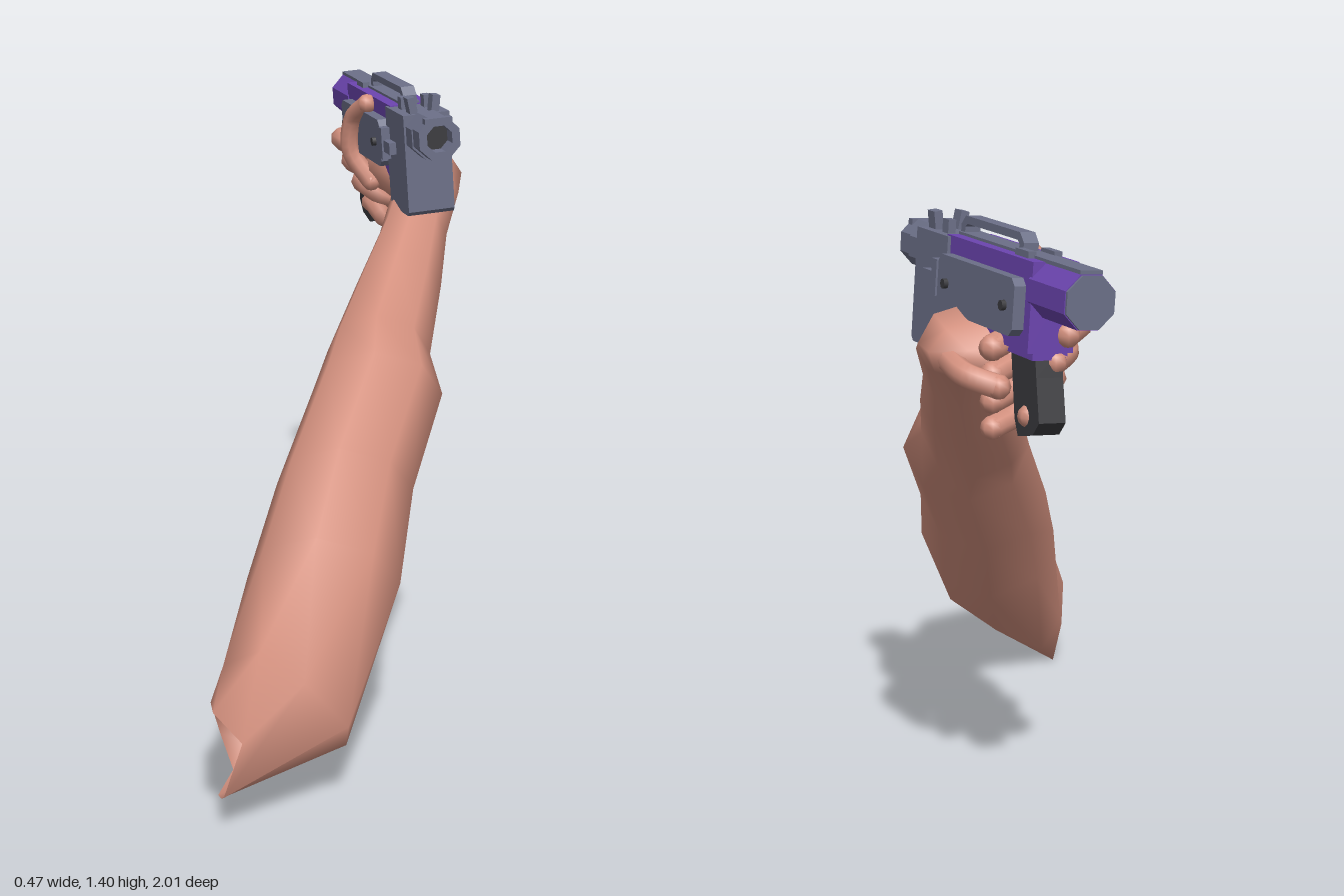
import * as THREE from 'three';

const mat = (name, color, side = THREE.FrontSide) => {
  const m = new THREE.MeshStandardMaterial({ color, side });
  m.name = name;
  return m;
};

export function createModel() {
  const skin = mat('skin', 0xd4917f, THREE.DoubleSide);
  const purple = mat('purple', 0x6c45b0);
  const grey = mat('grey', 0x6c7088);
  const dark = mat('dark', 0x3a3a3e);
  const model = new THREE.Group();
  const add = (parent, name, geo, material, x = 0, y = 0, z = 0) => {
    const m = new THREE.Mesh(geo, material);
    m.name = name;
    m.position.set(x, y, z);
    parent.add(m);
    return m;
  };

  // Skin over rings of equal point counts
  const loft = (rings) => {
    const n = rings[0].length, idx = [];
    for (let i = 0; i < rings.length - 1; i++) {
      for (let j = 0; j < n; j++) {
        const a = i * n + j, b = i * n + (j + 1) % n;
        idx.push(a, b, a + n, b, b + n, a + n);
      }
    }
    const g = new THREE.BufferGeometry();
    g.setAttribute('position', new THREE.Float32BufferAttribute(rings.flat(2), 3));
    g.setIndex(idx);
    g.computeVertexNormals();
    return g;
  };

  // Arm: slanted open cuff, then oval sections given by top z,y / bottom z,y / x range
  const cuff = [
    [[.08, .285, .95], [.15, .24, 1], [.10, .09, .95], [.08, .05, .87],
      [.06, .02, .79], [.065, .003, .62], [.04, .1, .64], [.03, .2, .7]],
    [[.16, .37, .8], [.26, .31, .83], [.35, .2, .8], [.34, .14, .76],
      [.22, .08, .66], [.1, .05, .58], [.05, .14, .58], [.06, .29, .7]],
  ];
  const oval = ([tz, ty, bz, by, x0, x1]) => Array.from({ length: 8 }, (_, j) => {
    const a = j * Math.PI / 4, c = Math.cos(a) / 2, s = Math.sin(a) / 2;
    return [(x0 + x1) / 2 + s * (x1 - x0), (ty + by) / 2 + c * (ty - by), (tz + bz) / 2 + c * (tz - bz)];
  });
  const sections = [
    [.60, .56, .35, .27, .08, .43],
    [.38, .70, .17, .45, .12, .44],
    [.15, .87, 0, .63, .18, .49],
    [0, .92, -.09, .71, .20, .45],
    [-.20, 1.03, -.27, .85, .25, .46],
    [-.38, 1.11, -.42, .96, .29, .46],
    [-.51, 1.18, -.55, 1.06, .31, .48],
    [-.60, 1.235, -.66, 1.07, .24, .48],
    [-.67, 1.21, -.71, 1.08, .20, .46],
    [-.72, 1.16, -.73, 1.11, .26, .40],
    [-.725, 1.136, -.725, 1.134, .32, .33],
  ];
  add(model, 'arm', loft([...cuff, ...sections.map(oval)]), skin);

  // Fingers: tubes with rounded ends
  const finger = (name, pts, r) => {
    const g = new THREE.Group();
    g.name = name;
    const v = pts.map((p) => new THREE.Vector3(...p));
    add(g, 'segment', new THREE.TubeGeometry(new THREE.CatmullRomCurve3(v), 12, r, 8), skin);
    for (const p of [v[0], v[v.length - 1]]) add(g, 'tip', new THREE.SphereGeometry(r, 8, 6), skin, p.x, p.y, p.z);
    model.add(g);
  };
  for (let i = 0; i < 4; i++) {
    const y = 1.215 - i * .057, d = i * .026;
    finger('finger', [[.33, y - .05, -.75], [.27, y - .03, -.70], [.17 + d, y, -.70],
      [.15 + d, y, -.76], [.18 + d, y - .01, -.82]], .029 - i * .001);
  }
  finger('thumb', [[.24, 1.12, -.65], [.185, 1.2, -.66], [.195, 1.29, -.64], [.235, 1.335, -.59]], .025);
  finger('littleFinger', [[.42, 1.13, -.68], [.385, 1.11, -.76], [.32, 1.09, -.79]], .027);

  // Gun frame: z runs to the muzzle
  const gun = new THREE.Group();
  gun.name = 'gun';
  gun.position.set(.303, 1.3, -.608);
  gun.rotation.set(0, .384, .07, 'YXZ');
  model.add(gun);

  // Side outline (z, y) extruded across x
  const slab = (pts, w) => {
    const s = new THREE.Shape(pts.map((p) => new THREE.Vector2(...p)));
    return new THREE.ExtrudeGeometry(s, { depth: w, bevelEnabled: false }).rotateY(-Math.PI / 2).translate(w / 2, 0, 0);
  };
  const box = (name, m, w, h, d, x, y, z) => add(gun, name, new THREE.BoxGeometry(w, h, d), m, x, y, z);
  const octagon = (r, hy = r) => Array.from({ length: 8 }, (_, i) => {
    const a = (i + .5) * Math.PI / 4, k = 1 / Math.cos(Math.PI / 8);
    return new THREE.Vector2(Math.cos(a) * r * k, Math.sin(a) * hy * k);
  });
  const prism = (r, d, hole) => {
    const s = new THREE.Shape(octagon(r));
    if (hole) s.holes.push(new THREE.Path(octagon(hole)));
    return new THREE.ExtrudeGeometry(s, { depth: d, bevelEnabled: false });
  };

  // Receiver and rear tube
  add(gun, 'receiver', slab([[.16, .058], [-.25, .058], [-.25, -.13], [-.1, -.13], [-.06, -.11], [.08, -.11], [.11, -.13], [.16, -.13]], .105), purple);
  add(gun, 'rearTube', prism(.056, .16), purple, 0, 0, -.4);
  add(gun, 'rearCap', prism(.054, .008), grey, 0, 0, -.406);
  box('topStrip', grey, .05, .008, .56, 0, .06, -.12);

  // Front block, barrel shroud and muzzle
  add(gun, 'frontBlock', slab([[.30, .055], [.14, .055], [.14, -.185], [.16, -.2], [.29, -.2], [.30, -.19]], .12), grey);
  add(gun, 'shroud', prism(.055, .06), grey, 0, .005, .29);
  add(gun, 'muzzle', prism(.052, .055, .032), grey, 0, .008, .348);
  add(gun, 'bore', prism(.033, .012), dark, 0, .008, .35);
  box('upperLip', grey, .07, .02, .02, 0, .05, .393);

  // Side housings with bolts and catches
  for (const s of [-1, 1]) {
    add(gun, 'sideHousing', slab([[.14, .005], [.125, .02], [-.21, .02], [-.225, .005], [-.225, -.085], [-.21, -.1], [.125, -.1], [.14, -.085]], .03), grey, s * .064, 0, 0);
    for (const z of [.095, -.185]) {
      add(gun, 'bolt', new THREE.CylinderGeometry(.011, .011, .014, 8).rotateZ(Math.PI / 2), dark, s * .082, -.04, z);
    }
    box('catch', grey, .02, .03, .06, s * .068, -.04, .19);
    box('catchPlate', grey, .025, .08, .025, s * .07, -.035, .155);
  }

  // Carry rail and sights
  add(gun, 'topRail', slab([[.165, .055], [.165, .08], [.145, .1], [-.115, .1], [-.135, .08], [-.135, .055],
    [-.115, .055], [-.115, .076], [-.105, .083], [.135, .083], [.145, .076], [.145, .055]], .035), grey);
  for (const s of [-1, 1]) {
    box('frontSight', grey, .02, .045, .035, s * .03, .073, .27).rotation.z = s * -.15;
    box('rearSight', grey, .018, .035, .03, s * .03, .068, .2);
    box('rearStud', grey, .018, .02, .06, s * .03, .062, -.17);
  }

  // Pistol grip and trigger guard
  add(gun, 'grip', slab([[-.13, -.12], [-.24, -.12], [-.255, -.18], [-.28, -.27], [-.255, -.3], [-.19, -.315], [-.17, -.28]], .062), dark);
  add(gun, 'gripCollar', slab([[-.1, -.12], [-.25, -.12], [-.25, -.145], [-.13, -.145]], .08), purple);
  return model;
}
